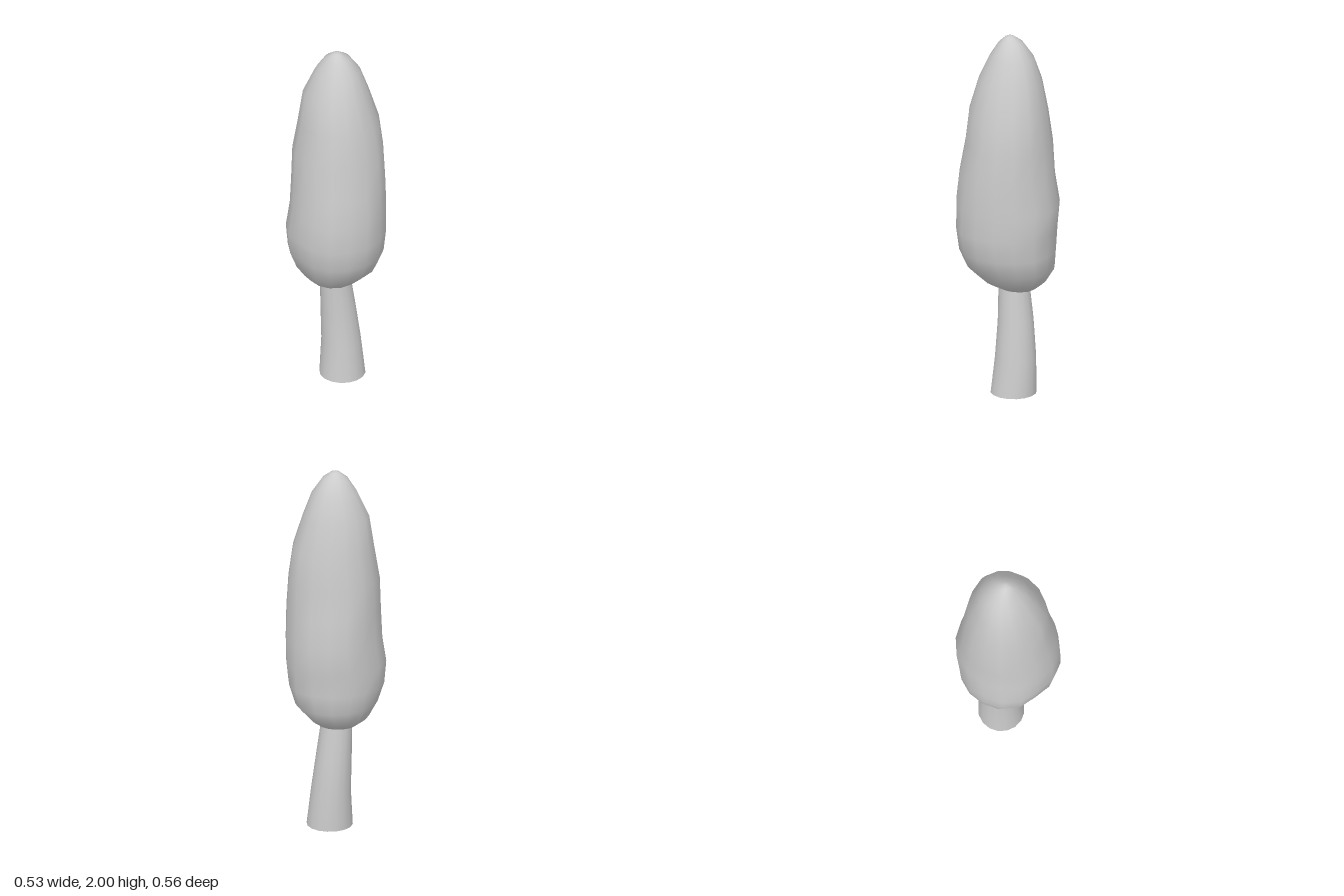
import * as THREE from 'three';

// Smooth skin over rings given as [y, xMin, xMax, zMin, zMax]
function loft(rings, sides, closed, bulge) {
  const pos = [], index = [];
  rings.forEach(([y, x0, x1, z0, z1]) => {
    const cx = (x0 + x1) / 2, cz = (z0 + z1) / 2;
    for (let j = 0; j < sides; j++) {
      const a = (j / sides) * Math.PI * 2;
      const k = bulge(a, y);
      pos.push(cx + Math.cos(a) * k * (x1 - x0) / 2, y, cz + Math.sin(a) * k * (z1 - z0) / 2);
    }
  });
  for (let i = 0; i < rings.length - 1; i++) {
    for (let j = 0; j < sides; j++) {
      const a = i * sides + j, b = i * sides + (j + 1) % sides;
      index.push(a, a + sides, b, b, a + sides, b + sides);
    }
  }
  if (closed) {
    // A centre point closes each end
    [[0, false], [rings.length - 1, true]].forEach(([i, top]) => {
      const [y, x0, x1, z0, z1] = rings[i];
      const c = pos.length / 3;
      pos.push((x0 + x1) / 2, y + (top ? 0.008 : 0), (z0 + z1) / 2);
      for (let j = 0; j < sides; j++) {
        const a = i * sides + j, b = i * sides + (j + 1) % sides;
        index.push(c, ...(top ? [b, a] : [a, b]));
      }
    });
  }
  const g = new THREE.BufferGeometry();
  g.setAttribute('position', new THREE.Float32BufferAttribute(pos, 3));
  g.setIndex(index);
  g.computeVertexNormals();
  return g;
}

export function createModel() {
  const group = new THREE.Group();
  const add = (name, geometry, side) => {
    const mesh = new THREE.Mesh(geometry, new THREE.MeshStandardMaterial({ color: 0xcccccc, side }));
    mesh.name = name;
    group.add(mesh);
  };

  // Tall, slightly lumpy crown
  const crownRings = [
    [0.58, -0.12, 0.08, -0.15, 0.05],
    [0.62, -0.18, 0.14, -0.20, 0.14],
    [0.70, -0.225, 0.215, -0.25, 0.22],
    [0.80, -0.258, 0.252, -0.255, 0.265],
    [0.92, -0.268, 0.265, -0.262, 0.282],
    [1.06, -0.248, 0.265, -0.278, 0.28],
    [1.22, -0.24, 0.262, -0.25, 0.262],
    [1.40, -0.235, 0.25, -0.237, 0.23],
    [1.58, -0.205, 0.225, -0.215, 0.208],
    [1.75, -0.18, 0.172, -0.18, 0.16],
    [1.88, -0.12, 0.125, -0.138, 0.10],
    [1.96, -0.068, 0.07, -0.08, 0.05],
    [1.992, -0.025, 0.025, -0.035, 0.015],
  ];
  // Diagonals swell or flatten while the four axis directions stay put
  const lumps = (a, y) => {
    const diagonal = Math.sin(2 * a) ** 2;
    const lean = -0.055 * Math.cos(a - 2.36);
    const wave = 0.02 * Math.sin(3 * a + 6 * y) + 0.012 * Math.sin(5 * a - 9 * y);
    return 1 + diagonal * (lean - 0.01 + wave);
  };
  add('crown', loft(crownRings, 16, true, lumps), THREE.FrontSide);

  // Curved, tapering trunk, open at the foot
  const trunkRings = [
    [0, -0.095, 0.15, -0.16, 0.085],
    [0.2, -0.086, 0.126, -0.156, 0.064],
    [0.4, -0.09, 0.099, -0.138, 0.053],
    [0.58, -0.092, 0.074, -0.114, 0.053],
    [0.7, -0.092, 0.062, -0.102, 0.053],
  ];
  add('trunk', loft(trunkRings, 16, false, () => 1), THREE.DoubleSide);

  return group;
}
